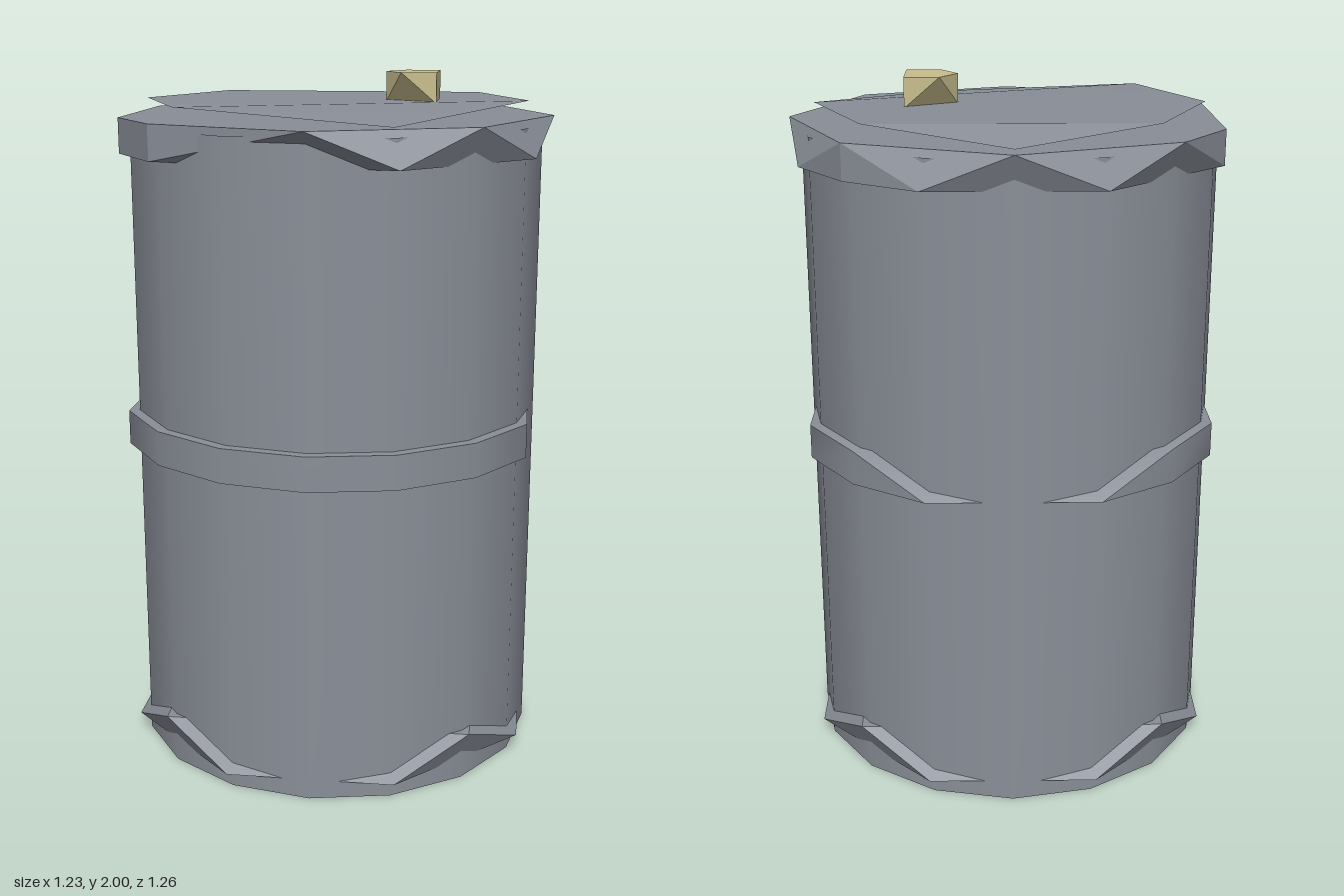
import * as THREE from 'three';
import { ConvexGeometry } from 'three/addons/geometries/ConvexGeometry.js';
import { toCreasedNormals } from 'three/addons/utils/BufferGeometryUtils.js';

const CX = -0.018; // barrel axis
const steel = new THREE.MeshStandardMaterial({ color: 0x8a8f98, side: THREE.DoubleSide });
steel.name = 'steelGrey';
const brass = new THREE.MeshStandardMaterial({ color: 0xc8be8d });
brass.name = 'brassYellow';

// Points of a 16-step ring at height y; step 0 is +x, step 4 is +z
function ringRow(y, steps, radius = 0.63) {
  return steps.map((s) => {
    const a = (s * Math.PI) / 8;
    return new THREE.Vector3(CX + radius * Math.cos(a), y, radius * Math.sin(a));
  });
}

// Points [x, z] at height y
const flatRow = (y, points) => points.map(([x, z]) => new THREE.Vector3(x, y, z));

// Solid through a set of points; edges sharper than the crease angle stay hard
function hull(name, points, crease, material = steel) {
  const mesh = new THREE.Mesh(toCreasedNormals(new ConvexGeometry(points), crease), material);
  mesh.name = name;
  return mesh;
}

export function createModel() {
  const group = new THREE.Group();
  group.name = 'barrel';

  // Smooth open drum wall, closed by the floor of the bottom hoop
  const body = new THREE.Mesh(new THREE.CylinderGeometry(0.598, 0.598, 1.86, 16, 1, true), steel);
  body.name = 'body';
  body.position.set(CX, 0.93, 0);
  group.add(body);

  // Hoops: skipped steps sink into the drum and leave the band broken
  group.add(
    hull('bottomHoop', [
      ...ringRow(0.15, [2, 6, 10, 14]),
      ...ringRow(0.05, [1, 3, 5, 7, 9, 11, 13, 15]),
    ], 0.1),
    hull('middleHoop', [
      ...ringRow(1.03, [1, 2, 3, 4, 5, 6, 7, 9, 10, 14, 15]),
      ...ringRow(0.93, [1, 2, 3, 4, 5, 6, 7, 9, 10, 11, 13, 14, 15]),
    ], 0.7),
    hull('topRim', [
      ...ringRow(1.88, [0, 2, 4, 6, 7, 9, 10, 12, 14]),
      ...ringRow(1.78, [1, 3, 6, 7, 9, 11, 13, 14, 15]),
    ], 0.1)
  );

  // Lid: flat plate whose front corner dips to the rim
  group.add(
    hull('lid', [
      ...flatRow(1.92, [[-0.41, -0.395], [-0.575, 0], [-0.41, 0.39], [0.54, 0], [0.38, -0.395]]),
      ...flatRow(1.882, [[0.2, 0.51]]),
    ], 0.3)
  );

  // Lid flap: single face sloping down to the rear rim
  const flapGeometry = new THREE.BufferGeometry().setFromPoints([
    ...flatRow(1.92, [[-0.41, -0.395], [0.38, -0.395]]),
    ...flatRow(1.882, [[-0.02, -0.56]]),
  ]);
  flapGeometry.computeVertexNormals();
  const flap = new THREE.Mesh(flapGeometry, steel);
  flap.name = 'lidFlap';
  group.add(flap);

  // Bung: five-sided top on a three-sided foot
  group.add(
    hull('bung', [
      ...flatRow(2, [[0.13, 0], [0.18, -0.088], [0.28, -0.088], [0.28, 0.088], [0.18, 0.088]]),
      ...flatRow(1.915, [[0.13, 0], [0.28, -0.088], [0.28, 0.088]]),
    ], 0.1, brass)
  );

  return group;
}
